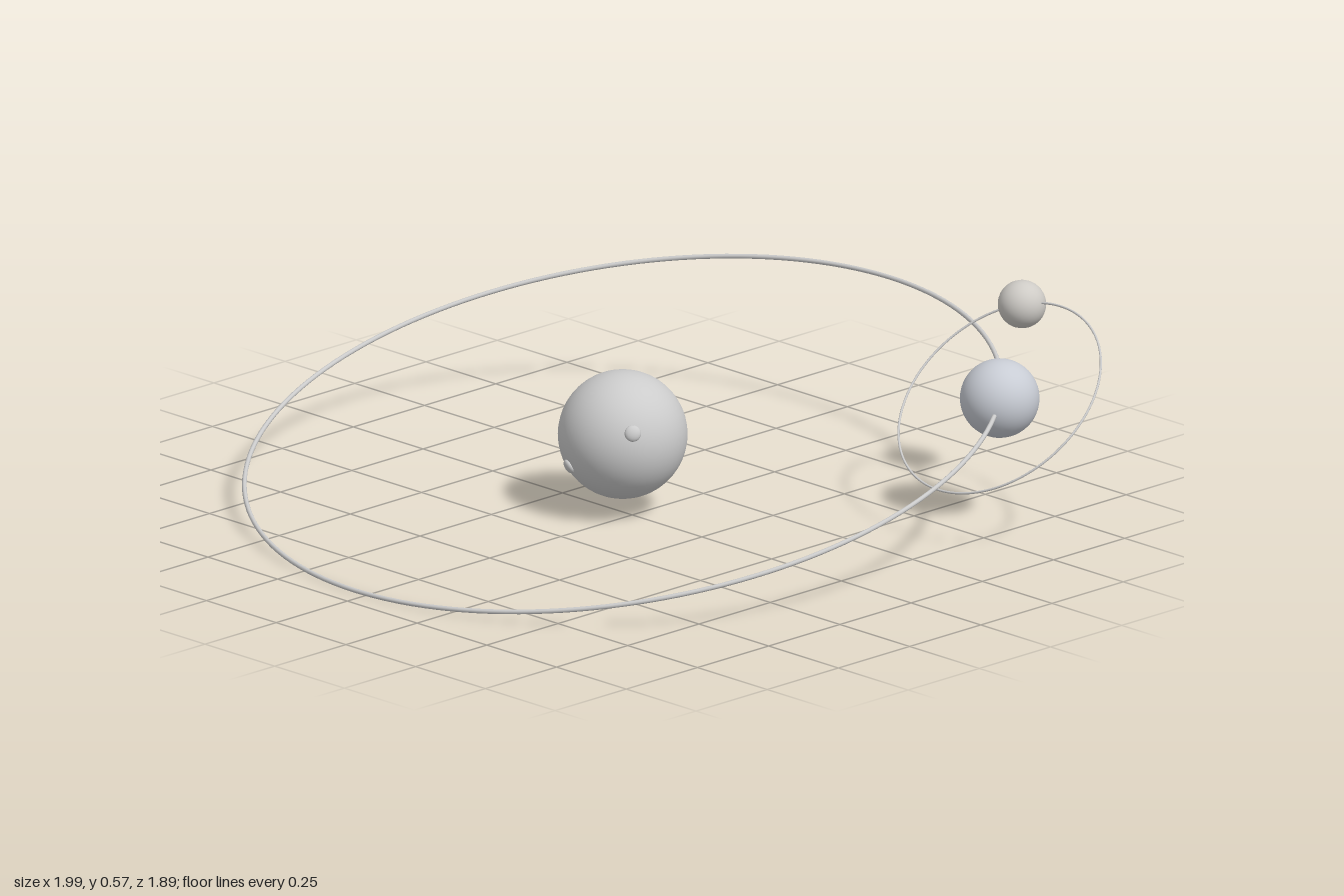
import * as THREE from 'three';

const rad = THREE.MathUtils.degToRad;

function ball(name, radius, color = 0xcccccc, segments = 48) {
  const mesh = new THREE.Mesh(
    new THREE.SphereGeometry(radius, segments, segments / 2),
    new THREE.MeshStandardMaterial({ color })
  );
  mesh.name = name;
  return mesh;
}

// Thin circular track lying in the local xz plane
function orbitRing(name, radius, tube) {
  const geometry = new THREE.TorusGeometry(radius, tube, 10, 160).rotateX(Math.PI / 2);
  const mesh = new THREE.Mesh(geometry, new THREE.MeshStandardMaterial({ color: 0xcccccc }));
  mesh.name = name;
  return mesh;
}

// Place a body on its orbit, angle measured from +x towards the back
function onOrbit(object, radius, degrees) {
  object.position.set(radius * Math.cos(rad(degrees)), 0, -radius * Math.sin(rad(degrees)));
  return object;
}

export function createModel() {
  const model = new THREE.Group();
  model.name = 'orbitalSystem';
  const center = new THREE.Group();
  center.name = 'system';
  center.position.set(-0.034, 0.207, 0);
  model.add(center);

  // Central star with flattened spots on its surface
  const starRadius = 0.163;
  const star = ball('star', starRadius);
  center.add(star);
  const spots = [
    [0.127, 0.051, 0.089, 0.021],
    [-0.047, -0.064, 0.143, 0.019],
    [-0.043, -0.105, -0.115, 0.019],
  ];
  for (const [x, y, z, size] of spots) {
    const direction = new THREE.Vector3(x, y, z).normalize();
    const spot = ball('starSpot', size, 0xcccccc, 20);
    spot.scale.z = 0.55;
    spot.quaternion.setFromUnitVectors(new THREE.Vector3(0, 0, 1), direction);
    spot.position.copy(direction).multiplyScalar(starRadius);
    star.add(spot);
  }

  // Tilted planet orbit
  const planetOrbit = new THREE.Group();
  planetOrbit.name = 'planetOrbit';
  planetOrbit.rotation.x = rad(12);
  planetOrbit.add(orbitRing('planetOrbitRing', 0.96, 0.006));
  center.add(planetOrbit);

  const planetSystem = onOrbit(new THREE.Group(), 0.96, 40);
  planetSystem.name = 'planetSystem';
  planetSystem.add(ball('planet', 0.1, 0xc8ccd4));
  planetOrbit.add(planetSystem);

  // Moon orbit, tilted further around the planet
  const moonOrbit = new THREE.Group();
  moonOrbit.name = 'moonOrbit';
  moonOrbit.rotation.x = rad(30);
  moonOrbit.add(orbitRing('moonOrbitRing', 0.289, 0.003));
  moonOrbit.add(onOrbit(ball('moon', 0.061, 0xcecbc6, 32), 0.289, 114.5));
  planetSystem.add(moonOrbit);

  return model;
}
